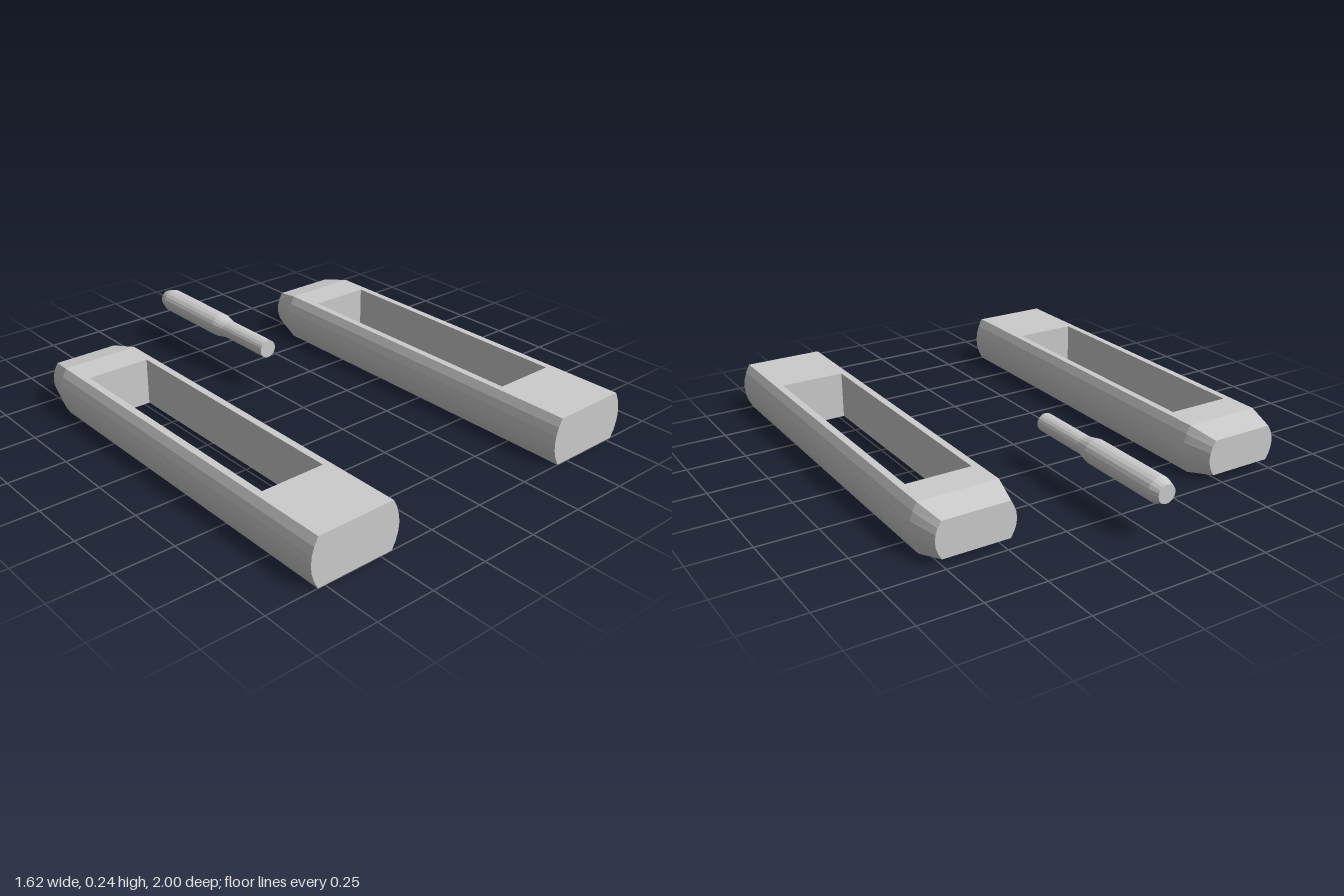
import * as THREE from 'three';

const material = new THREE.MeshStandardMaterial({ color: 0xcccccc, flatShading: true });

// Bar dimensions: half widths, height, and stations running front to back
const FLAT = 0.167, BULGE = 0.031, SLOT = 0.137, HEIGHT = 0.204, ARC = 6;
const STATIONS = [
  { z: 1 }, { z: 0.672 }, { z: -0.46 }, { z: -0.602 },
  { z: -0.725, sx: 0.835, sy: 0.73 },
];
const SLOT_BAY = 1;

// Cross-section: flat top and bottom with slot edges, bowed sides
function section({ z, sx = 1, sy = 1 }) {
  const h = HEIGHT / 2, half = [];
  for (const x of [FLAT, SLOT, -SLOT, -FLAT]) half.push([x, h]);
  for (let i = 1; i < ARC; i++) {
    const s = 1 - (2 * i) / ARC;
    half.push([-FLAT - BULGE * (1 - s * s), s * h]);
  }
  const ring = [...half, ...half.map(([x, y]) => [-x, -y])];
  return ring.map(([x, y]) => [x * sx, h + y * sy, z]);
}

function barGeometry() {
  const positions = [];
  const tri = (...corners) => corners.forEach((p) => positions.push(...p));
  const quad = (a, b, c, d) => { tri(a, b, c); tri(a, c, d); };
  const rings = STATIONS.map(section);
  const n = rings[0].length, half = n / 2;

  // Outer skin, left open over the slot
  for (let s = 0; s < rings.length - 1; s++) {
    const F = rings[s], B = rings[s + 1];
    for (let i = 0; i < n; i++) {
      if (s === SLOT_BAY && i % half === 1) continue;
      const j = (i + 1) % n;
      quad(F[i], B[i], B[j], F[j]);
    }
  }

  // Slot walls
  const F = rings[SLOT_BAY], B = rings[SLOT_BAY + 1];
  const p = half + 1, q = half + 2;
  quad(F[1], B[1], B[q], F[q]);
  quad(F[2], F[p], B[p], B[2]);
  quad(F[q], F[p], F[2], F[1]);
  quad(B[1], B[2], B[p], B[q]);

  // End faces
  const first = rings[0], last = rings[rings.length - 1];
  for (let i = 0; i < n; i++) {
    const j = (i + 1) % n;
    tri([0, HEIGHT / 2, first[0][2]], first[i], first[j]);
    tri([0, HEIGHT / 2, last[0][2]], last[j], last[i]);
  }

  const geometry = new THREE.BufferGeometry();
  geometry.setAttribute('position', new THREE.Float32BufferAttribute(positions, 3));
  geometry.computeVertexNormals();
  return geometry;
}

export function createModel() {
  const model = new THREE.Group();
  model.name = 'slottedBarsAndPin';

  // Pair of slotted bars
  const bar = barGeometry();
  for (const [name, x] of [['leftBar', 0.613], ['rightBar', -0.613]]) {
    const mesh = new THREE.Mesh(bar, material);
    mesh.name = name;
    mesh.position.x = x;
    model.add(mesh);
  }

  // Stepped pin with chamfered rear tip
  const profile = [
    [0, 0.238], [0.039, 0.238], [0.039, 0.513], [0.052, 0.575],
    [0.052, 0.957], [0.038, 1], [0, 1],
  ].map(([r, y]) => new THREE.Vector2(r, y));
  const pin = new THREE.Mesh(new THREE.LatheGeometry(profile, 20).rotateX(-Math.PI / 2), material);
  pin.name = 'pin';
  pin.position.y = 0.19;
  model.add(pin);

  return model;
}
